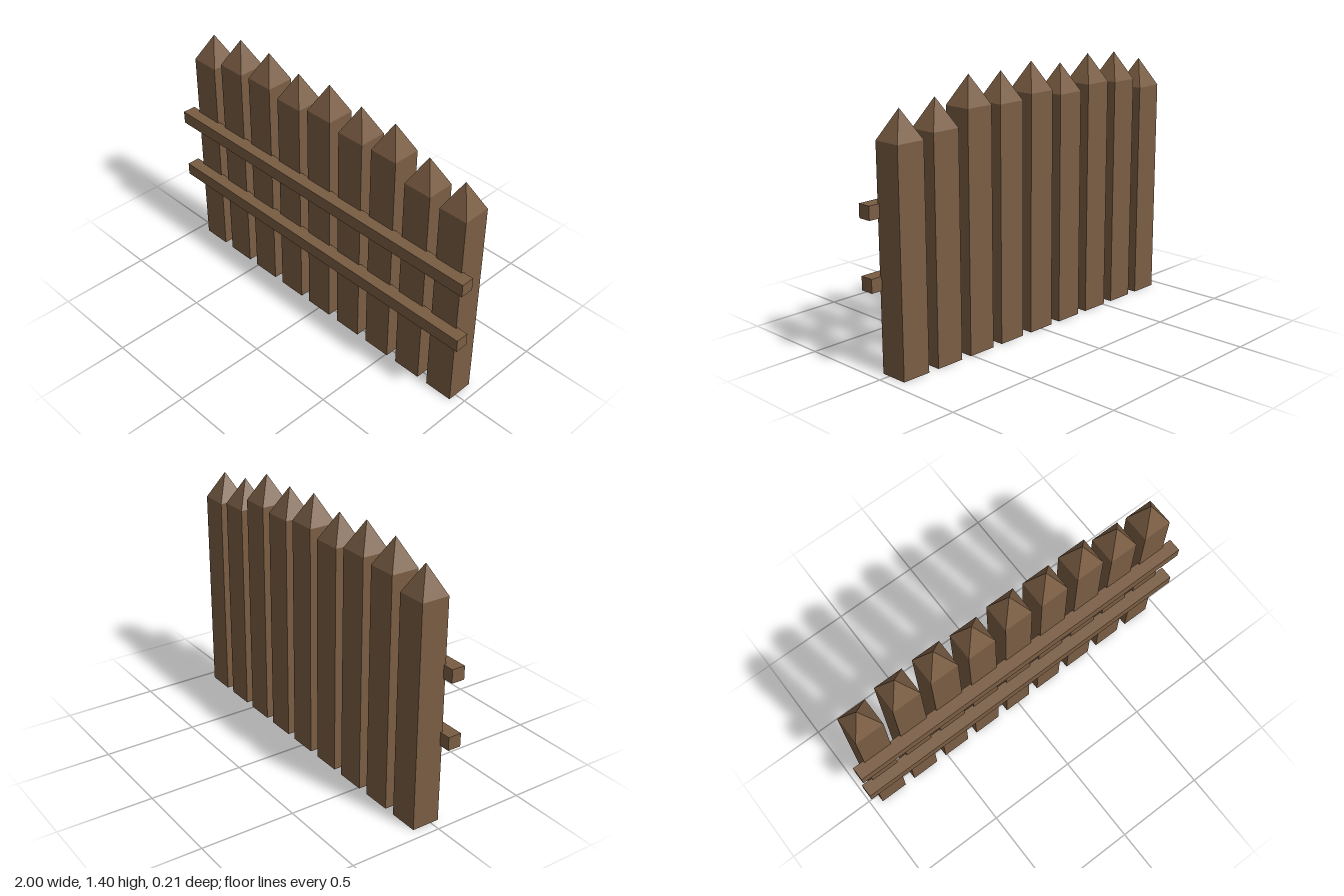
import * as THREE from 'three';

const WIDTH = 0.156, DEPTH = 0.15, TIP = 0.148, SPACING = 0.2155;
const HEIGHTS = [1.32, 1.377, 1.39, 1.364, 1.396, 1.372, 1.38, 1.3, 1.277];

// Square post with a pyramid point, standing on y = 0
function picketGeometry(height) {
  const profile = [[0, 0], [Math.SQRT1_2, 0], [Math.SQRT1_2, height - TIP], [0, height]]
    .map(([r, y]) => new THREE.Vector2(r, y));
  const lathe = new THREE.LatheGeometry(profile, 4, Math.PI / 4);
  lathe.scale(WIDTH, 1, DEPTH);
  const flat = lathe.toNonIndexed();
  flat.computeVertexNormals();
  return flat;
}

export function createModel() {
  const fence = new THREE.Group();
  fence.name = 'picketFence';

  const wood = new THREE.MeshStandardMaterial({ color: 0x7a5d43 });
  wood.name = 'brown wood';

  // Row of pointed pickets of uneven height
  HEIGHTS.forEach((height, i) => {
    const picket = new THREE.Mesh(picketGeometry(height), wood);
    picket.name = `picket${i + 1}`;
    picket.position.set((i - 4) * SPACING, 0, -0.03);
    fence.add(picket);
  });

  // Two horizontal rails let slightly into the front of the pickets
  for (const [name, y] of [['lowerRail', 0.453], ['upperRail', 0.802]]) {
    const rail = new THREE.Mesh(new THREE.BoxGeometry(2, 0.07, 0.072), wood);
    rail.name = name;
    rail.position.set(0, y, 0.07);
    fence.add(rail);
  }

  return fence;
}
